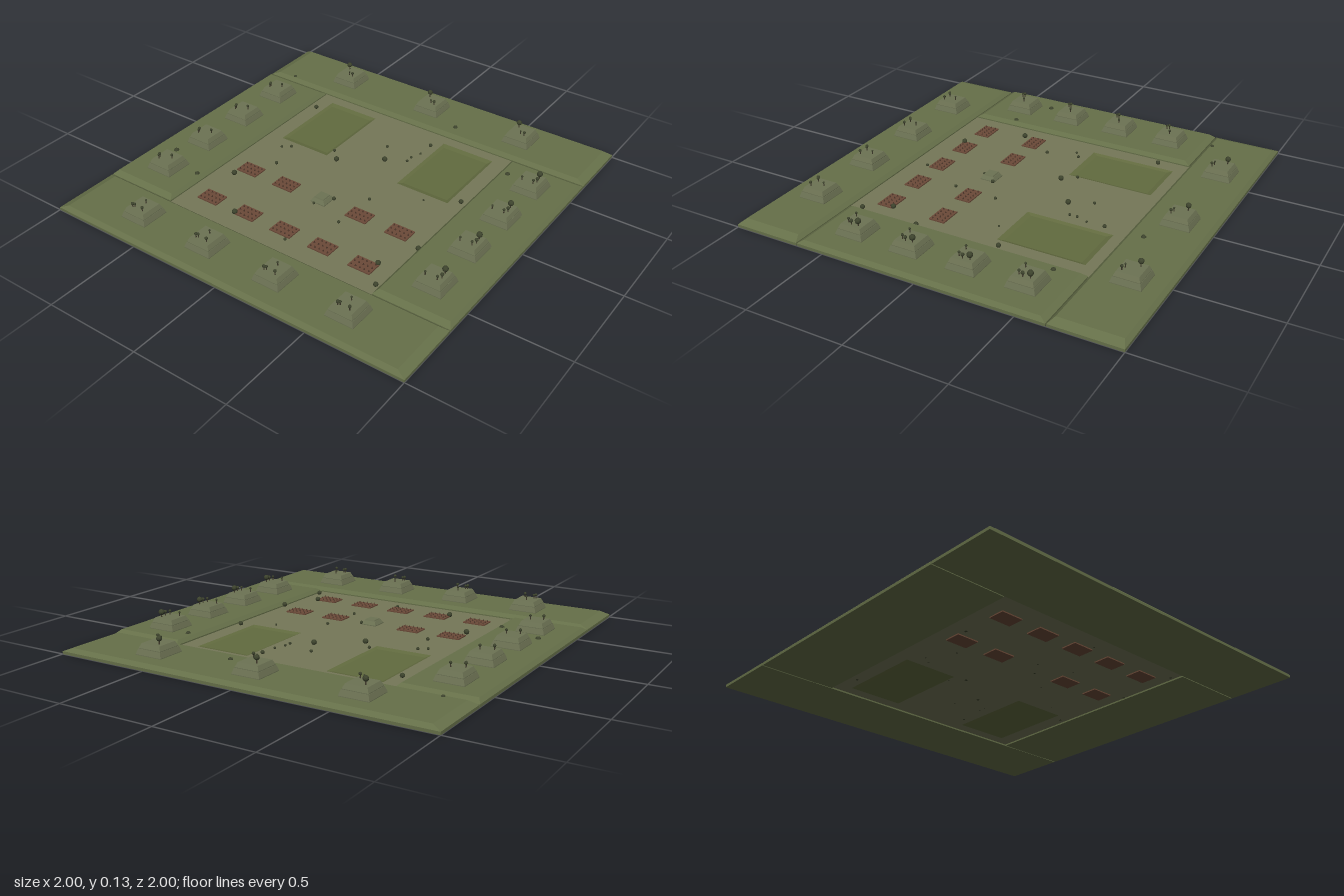
import * as THREE from 'three';

const mat = (color, side = THREE.FrontSide) =>
  new THREE.MeshStandardMaterial({ color, side, flatShading: true });

// Box whose top is inset: sloping sides over a short vertical foot
function slab(w, d, y0, y1, insetX, insetZ, foot = 0) {
  const hx = w / 2, hz = d / 2;
  const rings = [[hx, y0, hz], [hx, y0 + foot, hz], [hx - insetX, y1, hz - insetZ]];
  const pos = [], idx = [];
  for (const [x, y, z] of rings) pos.push(-x, y, z, x, y, z, x, y, -z, -x, y, -z);
  for (let r = 0; r < 2; r++) {
    for (let i = 0; i < 4; i++) {
      const a = r * 4 + i, b = r * 4 + (i + 1) % 4;
      idx.push(a, b, b + 4, a, b + 4, a + 4);
    }
  }
  idx.push(8, 9, 10, 8, 10, 11, 0, 2, 1, 0, 3, 2);
  const g = new THREE.BufferGeometry();
  g.setAttribute('position', new THREE.Float32BufferAttribute(pos, 3));
  g.setIndex(idx);
  const flat = g.toNonIndexed();
  flat.computeVertexNormals();
  return flat;
}

export function createModel() {
  const root = new THREE.Group();
  const grass = mat(0x667049), paving = mat(0x757758, THREE.DoubleSide);
  const turf = mat(0x626b3f, THREE.DoubleSide), stone = mat(0x6d7354);
  const soil = mat(0x6b4a38), crop = mat(0x4a3428);
  const leaf = mat(0x3c422c), bark = mat(0x3f3a2b);

  const add = (name, geo, material, x = 0, y = 0, z = 0, parent = root) => {
    const m = new THREE.Mesh(geo, material);
    m.name = name;
    m.position.set(x, y, z);
    parent.add(m);
    return m;
  };

  const groundY = 0.008, terraceY = 0.032, moundY = 0.086;

  // Plaza floor with two openings for the sunken courts
  const floor = new THREE.Shape();
  floor.moveTo(-0.61, -0.655).lineTo(0.61, -0.655).lineTo(0.61, 0.655).lineTo(-0.61, 0.655).closePath();
  const courtX = 0.368, courtZ = -0.363, cw = 0.295, cd = 0.455;
  for (const s of [-1, 1]) {
    const x = s * courtX, z = -courtZ, hole = new THREE.Path();
    hole.moveTo(x - cw / 2, z - cd / 2).lineTo(x - cw / 2, z + cd / 2)
      .lineTo(x + cw / 2, z + cd / 2).lineTo(x + cw / 2, z - cd / 2).closePath();
    floor.holes.push(hole);
  }
  add('plazaFloor', new THREE.ShapeGeometry(floor).rotateX(-Math.PI / 2), paving, 0, groundY, 0);

  // Sunken courts: a shallow dish with sloping banks
  for (const s of [-1, 1]) {
    const dish = new THREE.CylinderGeometry(Math.SQRT1_2, Math.SQRT1_2 * 0.88, 1, 4, 1, true)
      .rotateY(Math.PI / 4).scale(cw, 0.006, cd);
    add('courtBank', dish, turf, s * courtX, groundY - 0.003, courtZ);
    const bed = new THREE.PlaneGeometry(cw * 0.88, cd * 0.88).rotateX(-Math.PI / 2);
    add('courtBed', bed, turf, s * courtX, groundY - 0.006, courtZ);
  }

  // Raised terraces around the plaza
  for (const s of [-1, 1]) {
    add(s > 0 ? 'frontTerrace' : 'backTerrace',
      slab(2, 0.35, 0, terraceY, 0.045, 0.02, 0.014), grass, 0, 0, s * 0.825);
    add(s > 0 ? 'leftTerrace' : 'rightTerrace',
      slab(0.4, 1.29, 0, terraceY, 0.018, 0.03, 0.014), grass, s * 0.8, 0, 0);
  }

  // Shrubs and small trees
  const ball = new THREE.IcosahedronGeometry(1, 1);
  const trunk = new THREE.CylinderGeometry(0.0022, 0.003, 1, 5);
  const tree = (x, y, z, r, h) => {
    const g = new THREE.Group();
    g.name = h > 0.012 ? 'tree' : 'shrub';
    g.position.set(x, y, z);
    add('trunk', trunk, bark, 0, h / 2, 0, g).scale.y = h;
    add('crown', ball, leaf, 0, h, 0, g).scale.setScalar(r);
    root.add(g);
  };

  // Stepped mounds with trees on top; each tree is x, z, crown radius, height
  const lower = slab(0.15, 0.15, 0, 0.029, 0.009, 0.009, 0.003);
  const upper = slab(0.128, 0.128, 0.029, moundY - terraceY, 0.01, 0.01, 0.003);
  const mound = (x, z, trees) => {
    const g = new THREE.Group();
    g.name = 'steppedMound';
    g.position.set(x, terraceY, z);
    add('lowerTier', lower, stone, 0, 0, 0, g);
    add('upperTier', upper, stone, 0, 0, 0, g);
    root.add(g);
    for (const [tx, tz, r, h] of trees) tree(x + tx, moundY, z + tz, r, h);
  };
  const frontTrees = [[-0.031, 0.036, 0.008, 0.02], [-0.022, 0.03, 0.007, 0.018], [0.03, 0.034, 0.008, 0.02], [0, -0.022, 0.005, 0.018]];
  const backTrees = [[-0.029, -0.026, 0.014, 0.028], [0.034, 0.036, 0.008, 0.02], [0.01, 0.03, 0.005, 0.018]];
  const rightTrees = [[-0.034, 0.02, 0.008, 0.02], [0.026, -0.006, 0.007, 0.02], [-0.03, 0.032, 0.006, 0.02]];
  const leftTrees = [[0.031, -0.03, 0.015, 0.026], [0.036, 0.005, 0.009, 0.02], [-0.035, 0.03, 0.006, 0.02], [0.026, 0.028, 0.007, 0.02]];
  for (const x of [-0.605, -0.2, 0.2, 0.6]) mound(x, 0.82, frontTrees);
  for (const x of [-0.555, -0.005, 0.55]) mound(x, -0.83, backTrees);
  for (const z of [-0.455, -0.155, 0.145, 0.445]) {
    mound(-0.8, z, rightTrees);
    mound(0.8, z, leftTrees);
  }

  // Planted beds with rows of crops
  const bedGeo = new THREE.BoxGeometry(0.12, 0.012, 0.085);
  const cropGeo = new THREE.ConeGeometry(0.005, 0.012, 5);
  const bed = (x, z) => {
    const g = new THREE.Group();
    g.name = 'plantedBed';
    g.position.set(x, groundY, z);
    add('soil', bedGeo, soil, 0, 0, 0, g);
    for (let r = 0; r < 3; r++) {
      for (let c = 0; c < 5; c++) add('crop', cropGeo, crop, (c - 2) * 0.024, 0.011, (r - 1) * 0.028, g);
    }
    root.add(g);
  };
  for (const x of [-0.455, -0.225, 0.225, 0.455]) bed(x, 0.2);
  for (const x of [-0.455, -0.225, 0, 0.225, 0.455]) bed(x, 0.5);

  // Stepped altar in the plaza
  add('altarBase', slab(0.082, 0.082, 0, 0.022, 0.01, 0.01, 0.004), stone, 0, groundY, 0.2);
  add('altarTop', slab(0.056, 0.056, 0.022, 0.028, 0.002, 0.002), stone, 0, groundY, 0.2);

  // Scattered shrubs: x, z, crown radius
  const shrubs = [
    [0.055, -0.27, 0.014], [-0.15, -0.125, 0.014], [0.57, -0.175, 0.012], [-0.5, 0.28, 0.014],
    [0.505, 0.455, 0.013], [0.58, 0.585, 0.012], [-0.28, 0.535, 0.014], [0.597, 0.26, 0.013],
    [-0.555, -0.49, 0.012], [0.178, -0.525, 0.01], [-0.005, -0.385, 0.008], [-0.21, -0.19, 0.008],
    [-0.42, -0.09, 0.008], [-0.46, -0.06, 0.007], [-0.385, 0.08, 0.009], [0.19, 0.065, 0.008],
    [0.045, 0.165, 0.01], [0.175, 0.305, 0.008], [0.155, -0.37, 0.007], [0.155, -0.33, 0.007],
    [0.175, -0.43, 0.006], [0.05, 0.56, 0.008], [-0.015, 0.25, 0.007], [0.41, -0.085, 0.005],
  ];
  for (const [x, z, r] of shrubs) tree(x, groundY, z, r, r * 0.8);
  const terraceShrubs = [
    [0.65, -0.5, 0.013], [-0.635, 0.41, 0.013], [-0.87, 0.31, 0.014], [-0.85, -0.68, 0.01], [0.205, -0.735, 0.013],
  ];
  for (const [x, z, r] of terraceShrubs) tree(x, terraceY - 0.006, z, r, 0.004);

  return root;
}
